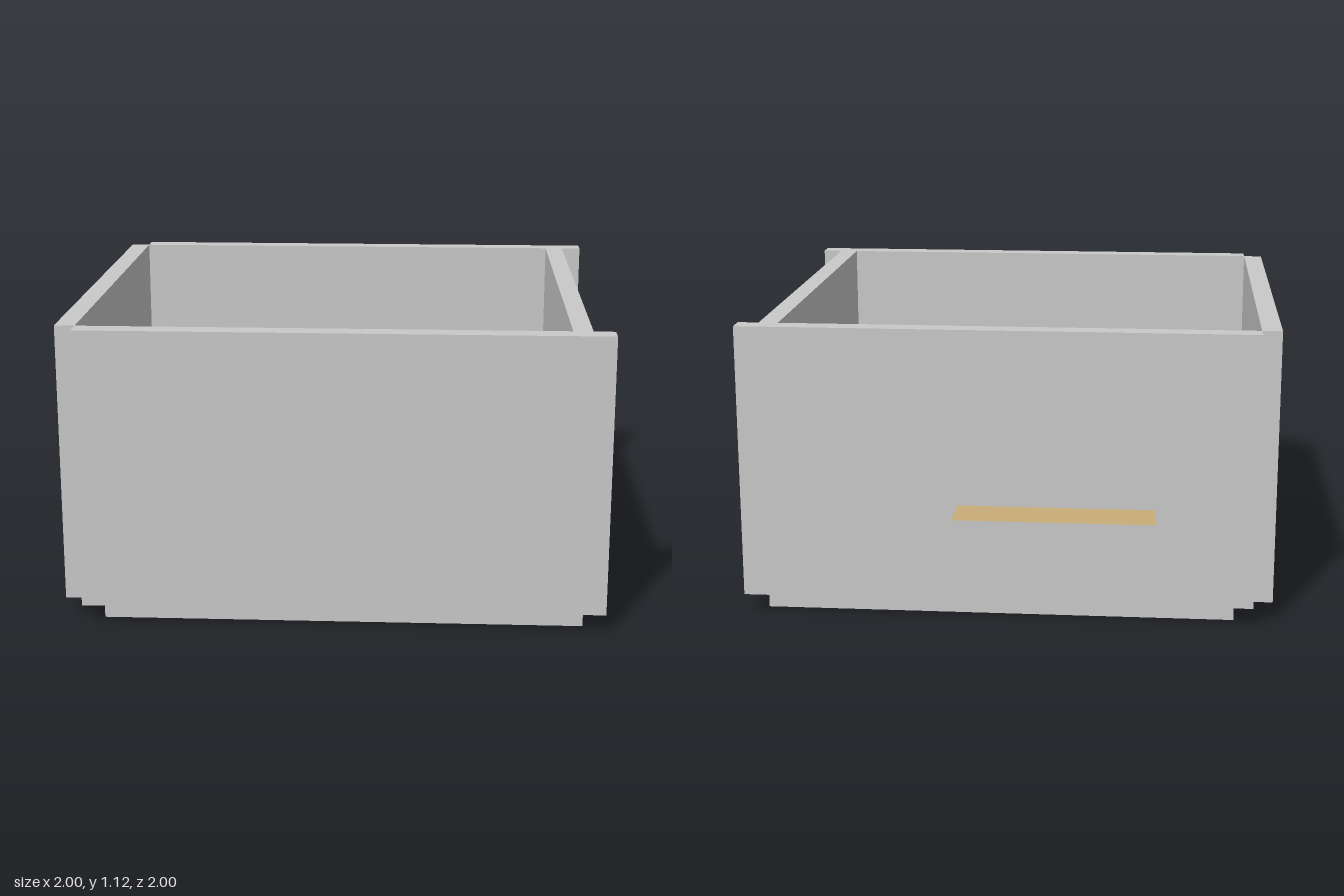
import * as THREE from 'three';

export function createModel() {
  const model = new THREE.Group();
  const grey = new THREE.MeshStandardMaterial({ color: 0xc9c9c9 });
  grey.name = 'light grey';
  const tan = new THREE.MeshStandardMaterial({ color: 0xc9ad78, side: THREE.DoubleSide });
  tan.name = 'tan';

  // Box given by its extents on each axis
  function box(name, [x0, x1], [y0, y1], [z0, z1], parent = model) {
    const mesh = new THREE.Mesh(new THREE.BoxGeometry(x1 - x0, y1 - y0, z1 - z0), grey);
    mesh.position.set((x0 + x1) / 2, (y0 + y1) / 2, (z0 + z1) / 2);
    mesh.name = name;
    parent.add(mesh);
    return mesh;
  }

  const base = 0.075, top = 1.115;

  // Floor and the four offset walls
  box('floor', [-0.855, 0.85], [0, base], [-0.745, 0.923]);
  box('leftWall', [0.85, 0.922], [0, top], [-0.745, 0.923]);
  box('rightWall', [-1, -0.925], [base, top], [-0.745, 0.923]);
  box('frontWall', [-0.925, 1], [base, top], [0.923, 1]);
  box('backWall', [-0.925, 1], [base, top], [-0.82, -0.745]);

  // Fittings, all centred on one line
  const cx = -0.1875;
  box('uprightPanel', [cx - 0.74, cx + 0.74], [base, 0.675], [-0.65, -0.62]);
  for (const side of [-1, 1]) {
    const x = cx + side * 0.555;
    box('panelFoot', [x - 0.075, x + 0.075], [base, 0.33], [-0.655, -0.51]);
  }

  // Shallow open tray with thin sides
  const tray = new THREE.Group();
  tray.name = 'tray';
  model.add(tray);
  const w = 0.333;
  box('trayBottom', [cx - w, cx + w], [base, 0.085], [-0.62, 0.14], tray);
  for (const side of [-1, 1]) {
    const x = cx + side * (w - 0.003);
    box('traySide', [x - 0.003, x + 0.003], [0.085, 0.2], [-0.62, 0.12], tray);
  }
  box('trayFront', [cx - w, cx + w], [0.085, 0.2], [0.12, 0.14], tray);

  // Square sheet passing through the panel and the back wall
  const sheet = new THREE.Mesh(new THREE.PlaneGeometry(0.738, 0.738), tan);
  sheet.rotation.x = -Math.PI / 2;
  sheet.position.set(cx, 0.45, -0.631);
  sheet.name = 'sheet';
  model.add(sheet);

  return model;
}
